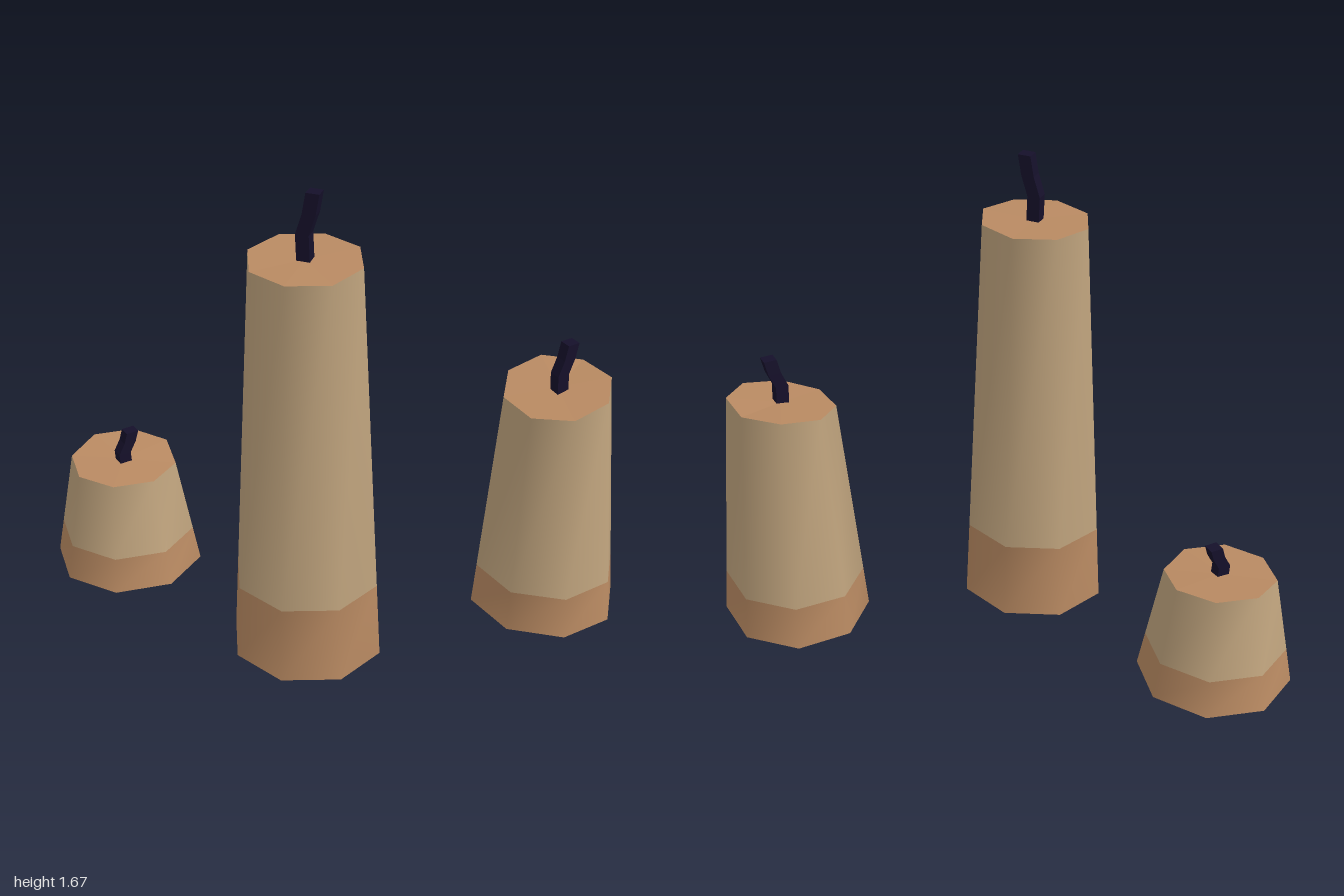
import * as THREE from 'three';

const SIDES = 8;
const waxMat = new THREE.MeshStandardMaterial({ color: 0xbfa37d, side: THREE.DoubleSide });
const bandMat = new THREE.MeshStandardMaterial({ color: 0xb98a62, side: THREE.DoubleSide });
const topMat = new THREE.MeshStandardMaterial({ color: 0xb98a62, side: THREE.DoubleSide, flatShading: true });
const wickMat = new THREE.MeshStandardMaterial({ color: 0x15102a, side: THREE.DoubleSide, flatShading: true });

// Skin a stack of rings (each a list of Vector3); optionally close the last with a fan
function loft(rings, capped = false) {
  const n = rings[0].length;
  const points = rings.flat();
  const index = [];
  for (let r = 0; r < rings.length - 1; r++) {
    for (let i = 0; i < n; i++) {
      const a = r * n + i, b = r * n + (i + 1) % n;
      index.push(b, a, a + n, b, a + n, b + n);
    }
  }
  if (capped) {
    const last = rings[rings.length - 1];
    const centre = new THREE.Vector3();
    last.forEach((p) => centre.addScaledVector(p, 1 / n));
    const base = points.length - n;
    points.push(centre);
    for (let i = 0; i < n; i++) index.push(points.length - 1, base + (i + 1) % n, base + i);
  }
  const geo = new THREE.BufferGeometry().setFromPoints(points);
  geo.setIndex(index);
  geo.computeVertexNormals();
  return geo;
}

function addMesh(parent, name, geo, mat) {
  const mesh = new THREE.Mesh(geo, mat);
  mesh.name = name;
  parent.add(mesh);
  return mesh;
}

// Tapered, slightly oval octagonal candle with an uneven top and an open base
function makeCandle({ name, x, z, turn, band, tops, wick }) {
  const candle = new THREE.Group();
  candle.name = name;
  candle.position.set(x, 0, z);

  // t runs from 0 at the base to 1 at the rim
  const ring = (t) => tops.map((h, i) => {
    const a = (i / SIDES) * Math.PI * 2;
    const r = THREE.MathUtils.lerp(0.263, 0.188, t);
    const p = new THREE.Vector3(Math.cos(a) * r, h * t, Math.sin(a) * r * 0.945);
    return p.applyAxisAngle(new THREE.Vector3(0, 1, 0), -THREE.MathUtils.degToRad(turn));
  });
  addMesh(candle, 'lowerBand', loft([ring(0), ring(band)]), bandMat);
  addMesh(candle, 'waxBody', loft([ring(band), ring(1)]), waxMat);
  addMesh(candle, 'waxTop', loft([ring(1)], true), topMat);

  // Bent square wick: [sideways offset, fraction of height]
  const path = [[0, 0], [-0.004, 0.42], [0.018, 0.71], [0.03, 1]];
  const rings = path.map(([dx, f]) =>
    [[1, 1], [-1, 1], [-1, -1], [1, -1]].map(([sx, sz]) =>
      new THREE.Vector3(dx + sx * 0.022, f * (wick.top - wick.base), sz * 0.02)));
  const wickMesh = addMesh(candle, 'wick', loft(rings, true), wickMat);
  wickMesh.position.set(wick.x, wick.base, wick.z);
  wickMesh.rotation.y = wick.turn;
  return candle;
}

export function createModel() {
  const model = new THREE.Group();
  model.name = 'candles';
  model.add(
    makeCandle({
      name: 'shortCandle', x: -0.743, z: 0.01, turn: -14, band: 0.317,
      tops: [0.405, 0.405, 0.405, 0.405, 0.41, 0.425, 0.425, 0.42],
      wick: { x: 0.005, z: 0.005, base: 0.39, top: 0.525, turn: 0.9 },
    }),
    makeCandle({
      name: 'tallCandle', x: 0.042, z: 0.248, turn: 0, band: 0.194,
      tops: [1.445, 1.437, 1.437, 1.437, 1.445, 1.45, 1.45, 1.45],
      wick: { x: 0, z: -0.003, base: 1.43, top: 1.67, turn: 0 },
    }),
    makeCandle({
      name: 'mediumCandle', x: 0.742, z: -0.265, turn: 15, band: 0.183,
      tops: [0.855, 0.83, 0.82, 0.83, 0.855, 0.875, 0.875, 0.875],
      wick: { x: 0.008, z: 0.008, base: 0.835, top: 1.02, turn: 0.9 },
    }),
  );
  return model;
}
